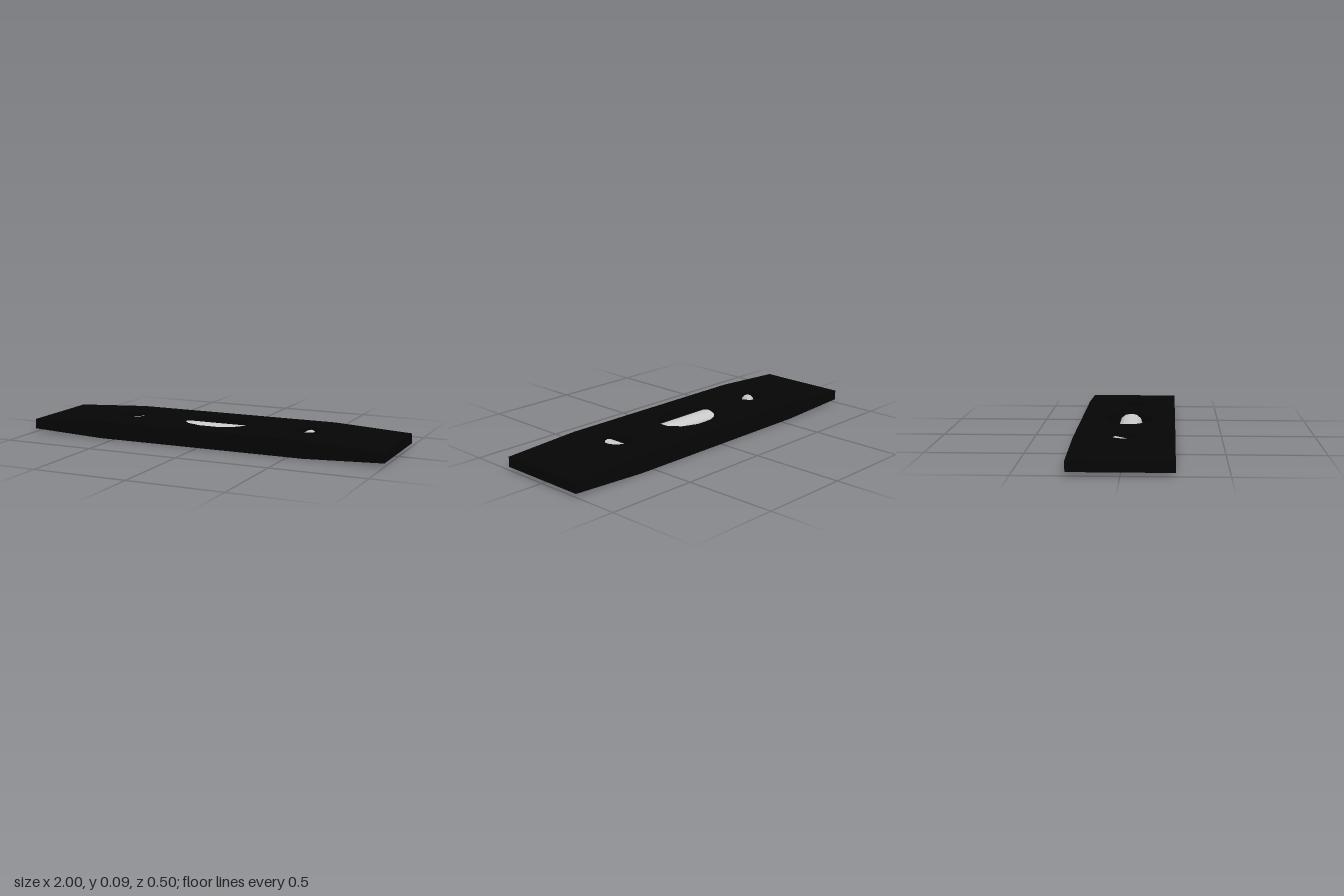
import * as THREE from 'three';
import { mergeGeometries } from 'three/addons/utils/BufferGeometryUtils.js';

const HEIGHT = 0.094, HALF_DEPTH = 0.25, TAPER_X = 0.58;

// Twelve-sided opening with flats on its axes
function opening(cx, rx, ry) {
  const points = [];
  for (let i = 0; i < 12; i++) {
    const a = (i + 0.5) * Math.PI / 6;
    points.push(new THREE.Vector2(cx + rx * Math.cos(a), ry * Math.sin(a)));
  }
  return new THREE.Path(points);
}

// Remove the hidden faces where the tapered ends join the middle
function dropJoint(geometry) {
  const p = geometry.attributes.position;
  const kept = [];
  for (let i = 0; i < p.count; i += 3) {
    const onJoint = side => [0, 1, 2].every(k => Math.abs(p.getX(i + k) - side * TAPER_X) < 1e-5);
    if (onJoint(1) || onJoint(-1)) continue;
    for (let k = 0; k < 3; k++) kept.push(p.getX(i + k), p.getY(i + k), p.getZ(i + k));
  }
  const result = new THREE.BufferGeometry();
  result.setAttribute('position', new THREE.Float32BufferAttribute(kept, 3));
  result.computeVertexNormals();
  return result;
}

function bodyGeometry() {
  // Middle block with three openings through it
  const plan = new THREE.Shape([
    new THREE.Vector2(-TAPER_X, -HALF_DEPTH), new THREE.Vector2(TAPER_X, -HALF_DEPTH),
    new THREE.Vector2(TAPER_X, HALF_DEPTH), new THREE.Vector2(-TAPER_X, HALF_DEPTH),
  ]);
  plan.holes.push(opening(0, 0.187, 0.131), opening(-0.509, 0.0715, 0.0715), opening(0.509, 0.0715, 0.0715));
  const middle = new THREE.ExtrudeGeometry(plan, { depth: HEIGHT, bevelEnabled: false });
  middle.rotateX(-Math.PI / 2);

  // Tapered end, reused on both sides
  const profile = new THREE.Shape([
    new THREE.Vector2(TAPER_X, 0), new THREE.Vector2(1, 0.018),
    new THREE.Vector2(1, 0.071), new THREE.Vector2(TAPER_X, HEIGHT),
  ]);
  const end = new THREE.ExtrudeGeometry(profile, { depth: 2 * HALF_DEPTH, bevelEnabled: false });
  end.translate(0, 0, -HALF_DEPTH);
  const otherEnd = end.clone().rotateY(Math.PI);

  return mergeGeometries([middle, end, otherEnd].map(dropJoint));
}

export function createModel() {
  const model = new THREE.Group();
  model.name = 'spiritLevel';
  const black = new THREE.MeshStandardMaterial({ color: 0x050505 });
  const grey = new THREE.MeshStandardMaterial({ color: 0xcccccc });

  const body = new THREE.Mesh(bodyGeometry(), black);
  body.name = 'body';
  model.add(body);

  // Vials lying across the openings
  function addVial(name, x, z, radiusY, radiusZ, length, turn) {
    const geometry = new THREE.CylinderGeometry(1, 1, length, 12);
    geometry.rotateZ(Math.PI / 2).scale(1, radiusY, radiusZ);
    const vial = new THREE.Mesh(geometry, grey);
    vial.name = name;
    vial.position.set(x, HEIGHT / 2, z);
    vial.rotation.y = turn;
    model.add(vial);
  }
  addVial('levelVial', 0, 0.01, 0.042, 0.061, 0.38, 0);
  addVial('plumbVial', 0.509, 0, 0.035, 0.035, 0.15, Math.PI / 2);
  addVial('diagonalVial', -0.509, 0, 0.036, 0.036, 0.15, Math.PI / 4);

  return model;
}
